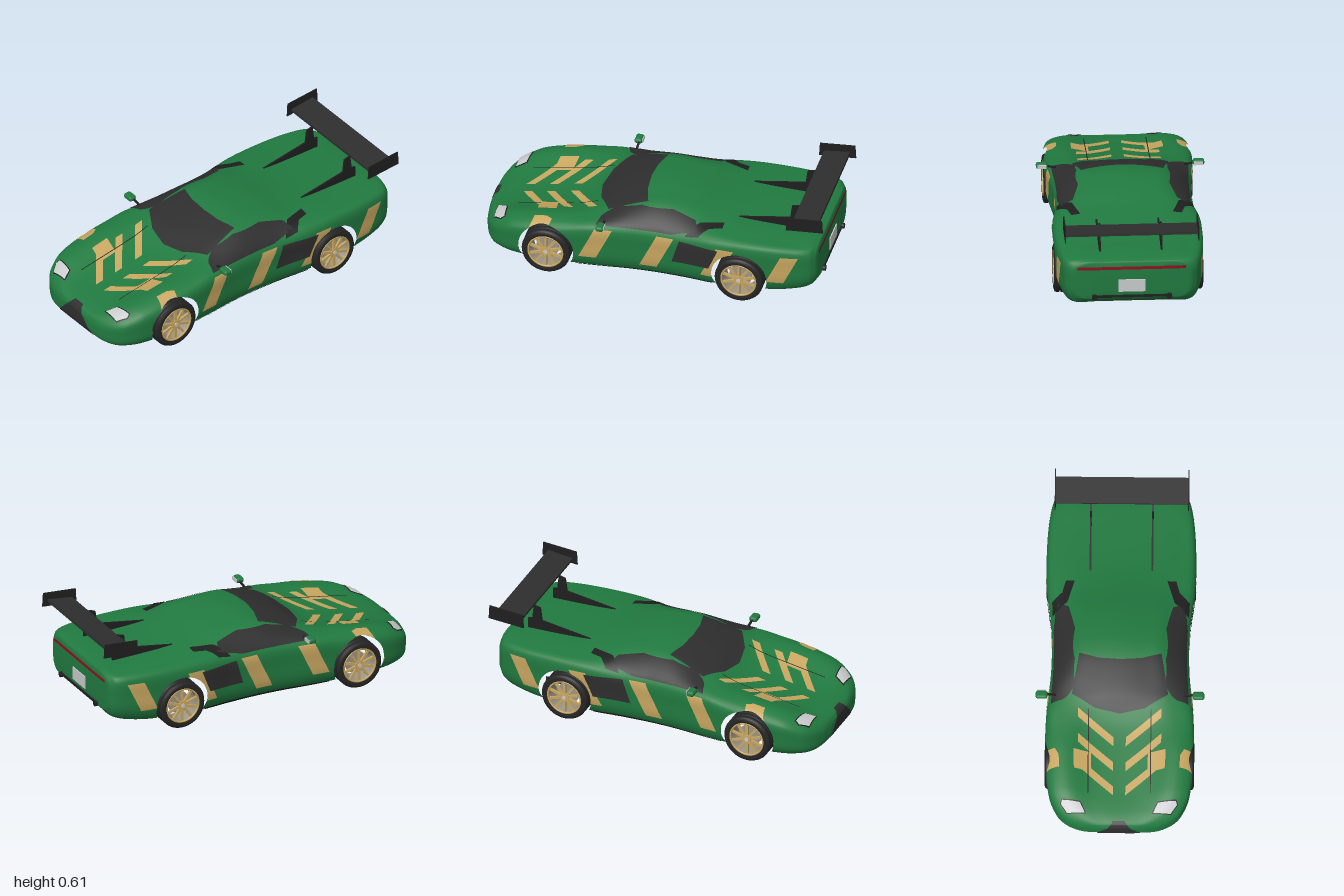
import * as THREE from 'three';
import { RoundedBoxGeometry } from 'three/addons/geometries/RoundedBoxGeometry.js';

const mat = (name, color, side = THREE.FrontSide) => {
  const m = new THREE.MeshStandardMaterial({ color, side });
  m.name = name;
  return m;
};

// Body stations: z, half width, floor, shoulder height, crest x, crest height, centre height
const STATIONS = [
  [1.0, .13, .12, .165, .09, .185, .19],
  [.985, .22, .09, .175, .16, .205, .212],
  [.95, .30, .07, .20, .22, .23, .228],
  [.90, .352, .062, .225, .27, .258, .24],
  [.80, .395, .056, .265, .30, .30, .256],
  [.60, .417, .052, .30, .32, .34, .292],
  [.45, .413, .052, .325, .31, .355, .325],
  [.36, .408, .052, .34, .29, .368, .36],
  [.27, .40, .052, .345, .28, .388, .41],
  [.15, .387, .052, .348, .265, .425, .452],
  [.05, .382, .052, .35, .25, .45, .475],
  [-.05, .382, .052, .35, .245, .455, .48],
  [-.20, .39, .052, .355, .25, .44, .463],
  [-.35, .41, .055, .37, .28, .41, .43],
  [-.50, .416, .06, .375, .32, .397, .408],
  [-.70, .41, .07, .375, .32, .39, .398],
  [-.85, .392, .095, .37, .32, .388, .394],
  [-.92, .37, .12, .36, .31, .384, .388],
  [-.95, .34, .15, .34, .28, .375, .38],
];
const AXLES = [.6, -.52];

// Smooth value of every station column between two stations
function station(i, t) {
  const S = STATIONS, n = S.length - 1, a = S[i], b = S[i + 1], dz = b[0] - a[0];
  const slope = (j, k) => {
    const p = S[Math.max(j - 1, 0)], q = S[Math.min(j + 1, n)];
    return (q[k] - p[k]) / (q[0] - p[0]);
  };
  const t2 = t * t, t3 = t2 * t;
  return a.map((v, k) => k === 0 ? v + dz * t :
    (2 * t3 - 3 * t2 + 1) * v + (3 * t2 - 2 * t3) * b[k] +
    ((t3 - 2 * t2 + t) * slope(i, k) + (t3 - t2) * slope(i + 1, k)) * dz);
}

// Closed cross-section at one station
function ring([z, w, yb, ys, rx, ry, yt], count) {
  const half = [[0, yb], [.5 * w, yb], [.87 * w, yb + .004], [.975 * w, yb + .22 * (ys - yb)],
    [w, yb + .58 * (ys - yb)], [.985 * w, ys], [rx, ry], [.5 * rx, ry + .75 * (yt - ry)], [0, yt]];
  const all = half.concat(half.slice(1, -1).reverse().map(([x, y]) => [-x, y]));
  const curve = new THREE.CatmullRomCurve3(all.map(([x, y]) => new THREE.Vector3(x, y, z)), true);
  return Array.from({ length: count }, (_, j) => curve.getPoint(j / count));
}

// Keep the part of a polygon where f >= 0
function clip(poly, f) {
  const out = [];
  poly.forEach((a, i) => {
    const b = poly[(i + 1) % poly.length], fa = f(a), fb = f(b);
    if (fa >= 0) out.push(a);
    if ((fa >= 0) !== (fb >= 0)) out.push(a.map((v, k) => v + (b[k] - v) * fa / (fa - fb)));
  });
  return out;
}
const fan = p => p.slice(2).map((_, i) => [p[0], p[i + 1], p[i + 2]]);

// Body shell as triangles of [x,y,z,nx,ny,nz], with the wheel arches cut out
function bodyTriangles() {
  const N = 80, rings = [], steps = 8;
  for (let i = 0; i < STATIONS.length - 1; i++)
    for (let s = 0; s < steps; s++) rings.push(ring(station(i, s / steps), N));
  rings.push(ring(STATIONS[STATIONS.length - 1], N));
  const scaled = (r, k, z) => {
    const cy = (r[0].y + r[N / 2].y) / 2;
    return r.map(p => new THREE.Vector3(p.x * k, cy + (p.y - cy) * k, z));
  };
  const tail = rings[rings.length - 1];
  rings.unshift(scaled(rings[0], 0, 1));
  rings.push(scaled(tail, .93, -.958), scaled(tail, .5, -.96), scaled(tail, 0, -.96));
  const idx = [];
  for (let i = 0; i < rings.length - 1; i++)
    for (let j = 0; j < N; j++) {
      const a = i * N + j, b = i * N + (j + 1) % N, c = b + N, d = a + N;
      idx.push(a, d, b, b, d, c);
    }
  const g = new THREE.BufferGeometry().setFromPoints(rings.flat());
  g.setIndex(idx);
  g.computeVertexNormals();
  const P = g.attributes.position, M = g.attributes.normal;
  const vert = i => [P.getX(i), P.getY(i), P.getZ(i), M.getX(i), M.getY(i), M.getZ(i)];
  let tris = [];
  for (let i = 0; i < idx.length; i += 3) tris.push([vert(idx[i]), vert(idx[i + 1]), vert(idx[i + 2])]);
  for (const az of AXLES)
    tris = tris.flatMap(t => fan(clip(t, v => Math.max(Math.hypot(v[2] - az, v[1] - .155) - .16, .27 - Math.abs(v[0])))));
  return tris;
}

// Triangles to geometry, pushed out along the normals
function toGeometry(tris, offset = 0) {
  const g = new THREE.BufferGeometry(), v = tris.flat();
  g.setAttribute('position', new THREE.Float32BufferAttribute(v.flatMap(p => [0, 1, 2].map(k => p[k] + offset * p[k + 3])), 3));
  g.setAttribute('normal', new THREE.Float32BufferAttribute(v.flatMap(p => p.slice(3)), 3));
  return g;
}

// Projections used to outline painted areas; both mirror in x
const VIEWS = {
  side: v => [v[2], v[1]],
  top: v => [Math.abs(v[0]), v[2]],
  front: v => [Math.abs(v[0]), v[1]],
};
const FACING = {
  side: v => Math.abs(v[3]) > .15,
  top: v => v[4] > .05 && v[1] > .15,
  front: v => v[2] > .8 && v[4] > -.85,
  rear: v => v[2] < -.9 && v[5] < -.1,
};

// Area of the body surface inside an outline
function patch(tris, view, outline, offset) {
  const uv = VIEWS[view === 'rear' ? 'front' : view];
  const pts = outline.map(([x, y]) => new THREE.Vector2(x, y));
  const source = tris.filter(t => t.every(FACING[view]));
  const out = [];
  for (const f of THREE.ShapeUtils.triangulateShape(pts, [])) {
    const [a, b, c] = f.map(i => pts[i]);
    const cross = (p, q, x, y) => (q.x - p.x) * (y - p.y) - (q.y - p.y) * (x - p.x);
    const s = Math.sign(cross(a, b, c.x, c.y));
    for (const t of source) {
      let poly = t;
      for (const [p, q] of [[a, b], [b, c], [c, a]])
        if (poly.length) poly = clip(poly, v => s * cross(p, q, ...uv(v)));
      if (poly.length > 2) out.push(...fan(poly));
    }
  }
  return toGeometry(out, offset);
}

export function createModel() {
  const green = mat('green paint', 0x217a40), gold = mat('gold', 0xc8a660), black = mat('black trim', 0x1f1f20),
    glass = mat('dark glass', 0x2e2e2f), silver = mat('silver', 0xc9cbcc), red = mat('tail red', 0x8c0d22),
    rubber = mat('rubber', 0x252526, THREE.DoubleSide), rim = mat('rim barrel', 0x9a9488, THREE.DoubleSide);
  const car = new THREE.Group();
  car.name = 'sportsCar';
  const add = (name, geo, m, x = 0, y = 0, z = 0, parent = car) => {
    const mesh = new THREE.Mesh(geo, m);
    mesh.name = name;
    mesh.position.set(x, y, z);
    parent.add(mesh);
    return mesh;
  };
  const box = (x, y, z) => new THREE.BoxGeometry(x, y, z);

  const tris = bodyTriangles();
  add('body', toGeometry(tris), green);
  const paint = (name, view, outline, m, offset = .003) => add(name, patch(tris, view, outline, offset), m);

  // Glass
  paint('windshield', 'top', [[-.01, .09], [.12, .08], [.23, .05], [.27, .27], [.14, .345], [-.01, .375]], glass);
  paint('sideWindow', 'side', [[.32, .354], [-.12, .357], [-.27, .392], [-.24, .42], [-.1, .447], [.08, .444], [.21, .412], [.3, .374]], glass);
  paint('quarterVent', 'top', [[.26, -.4], [.31, -.4], [.33, -.33], [.385, -.28], [.38, -.2], [.3, -.27]], black);

  // Side stripes, intake and sill
  for (const [top, y0] of [[.675, .14], [.32, .14], [-.035, .12], [-.39, .13], [-.76, .155]]) {
    const run = (.335 - y0) * .47;
    paint('sideStripe', 'side', [[top, .335], [top - .1, .335], [top - .1 + run, y0], [top + run, y0]], gold, .002);
  }
  paint('sideIntake', 'side', [[-.17, .332], [-.4, .325], [-.345, .19], [-.125, .185]], glass, .005);
  paint('sill', 'side', [[.43, .04], [-.36, .04], [-.36, .08], [.43, .072]], black);

  // Bonnet chevrons and seams
  for (const z of [.345, .485, .62])
    paint('bonnetStripe', 'top', [[.235, z], [.235, z + .05], [.035, z + .205], [.035, z + .155]], gold);
  paint('bonnetSeam', 'top', [[.174, .35], [.179, .35], [.179, .82], [.174, .82]], black, .005);

  // Nose
  paint('grille', 'front', [[-.01, .222], [.035, .222], [.18, .066], [-.01, .066]], glass);
  paint('headlightSurround', 'top', [[.183, .931], [.216, .866], [.323, .854], [.331, .88], [.293, .931]], black, .002);
  paint('headlight', 'top', [[.192, .926], [.22, .872], [.319, .86], [.325, .88], [.29, .926]], silver, .005);

  // Tail
  paint('tailLight', 'rear', [[-.01, .334], [.305, .334], [.305, .352], [-.01, .352]], red);
  add('rearPlate', box(.15, .075, .008), silver, 0, .235, -.962);
  add('rearBar', box(.42, .014, .02), black, 0, .168, -.955);
  add('rearSlot', box(.38, .008, .02), black, 0, .135, -.925);
  for (const s of [-1, 1])
    add('exhaust', new THREE.CylinderGeometry(.016, .016, .05, 20).rotateX(Math.PI / 2), black, s * .21, .166, -.95);
  for (const x of [-.15, -.05, .05, .15]) add('floorFin', box(.008, .025, .09), black, x, .063, -.7);

  // Rear wing with end plates and fin supports
  add('wingBlade', box(.75, .016, .152), glass, 0, .547, -.89).rotation.x = .12;
  const fin = new THREE.Shape([[.41, .40], [.76, .455], [.77, .535], [.81, .545], [.82, .46], [.845, .455], [.845, .37], [.41, .37]]
    .map(([a, b]) => new THREE.Vector2(a, b)));
  const finGeo = new THREE.ExtrudeGeometry(fin, { depth: .01, bevelEnabled: false }).translate(0, 0, -.005).rotateY(Math.PI / 2);
  const plate = new THREE.Shape([[.785, .51], [.79, .592], [.995, .608], [1, .525]].map(([a, b]) => new THREE.Vector2(a, b)));
  const plateGeo = new THREE.ExtrudeGeometry(plate, { depth: .006, bevelEnabled: false }).translate(0, 0, -.003).rotateY(Math.PI / 2);
  for (const s of [-1, 1]) {
    add('wingSupport', finGeo, black, s * .174);
    add('wingEndPlate', plateGeo, black, s * .375);

    // Door mirrors
    add('mirrorShell', new RoundedBoxGeometry(.066, .032, .046, 4, .014), green, s * .441, .385, .275);
    add('mirrorGlass', box(.05, .022, .004), silver, s * .441, .385, .252);
    add('mirrorArm', box(.06, .008, .012), black, s * .39, .378, .27).rotation.z = s * .2;
  }

  // Wheels: grooved tyre, rim, spokes, hub and brake disc, facing +x
  const v2 = list => list.map(([r, y]) => new THREE.Vector2(r, y));
  const lathe = list => new THREE.LatheGeometry(v2(list), 48).rotateZ(-Math.PI / 2);
  const grooves = [-.03, 0, .03].flatMap(y => [[.14, y - .005], [.132, y - .004], [.132, y + .004], [.14, y + .005]]);
  const tyreGeo = lathe([[.1, -.06], [.12, -.065], [.135, -.06], [.14, -.05], ...grooves, [.14, .05], [.135, .06], [.12, .065], [.1, .06]]);
  const barrelGeo = lathe([[.1, -.06], [.09, -.04], [.09, .03], [.1, .06]]);
  const lipGeo = new THREE.TorusGeometry(.1, .006, 8, 48).rotateY(Math.PI / 2);
  const disc = (r, h) => new THREE.CylinderGeometry(r, r, h, 32).rotateZ(-Math.PI / 2);
  for (const z of AXLES)
    for (const s of [-1, 1]) {
      const wheel = new THREE.Group();
      wheel.name = (z > 0 ? 'front' : 'rear') + (s > 0 ? 'Left' : 'Right') + 'Wheel';
      wheel.position.set(s * .355, .14, z);
      if (s < 0) wheel.rotation.y = Math.PI;
      add('tyre', tyreGeo, rubber, 0, 0, 0, wheel);
      add('rimBarrel', barrelGeo, rim, 0, 0, 0, wheel);
      add('rimLip', lipGeo, gold, .058, 0, 0, wheel);
      for (let i = 0; i < 10; i++)
        add('spoke', box(.012, .08, .014).translate(0, .06, 0), gold, .05, 0, 0, wheel).rotation.x = i * Math.PI / 5;
      add('hub', disc(.026, .016), gold, .052, 0, 0, wheel);
      add('hubCap', disc(.012, .02), silver, .054, 0, 0, wheel);
      add('brakeDisc', disc(.065, .012), rim, .005, 0, 0, wheel);
      car.add(wheel);
    }
  return car;
}
